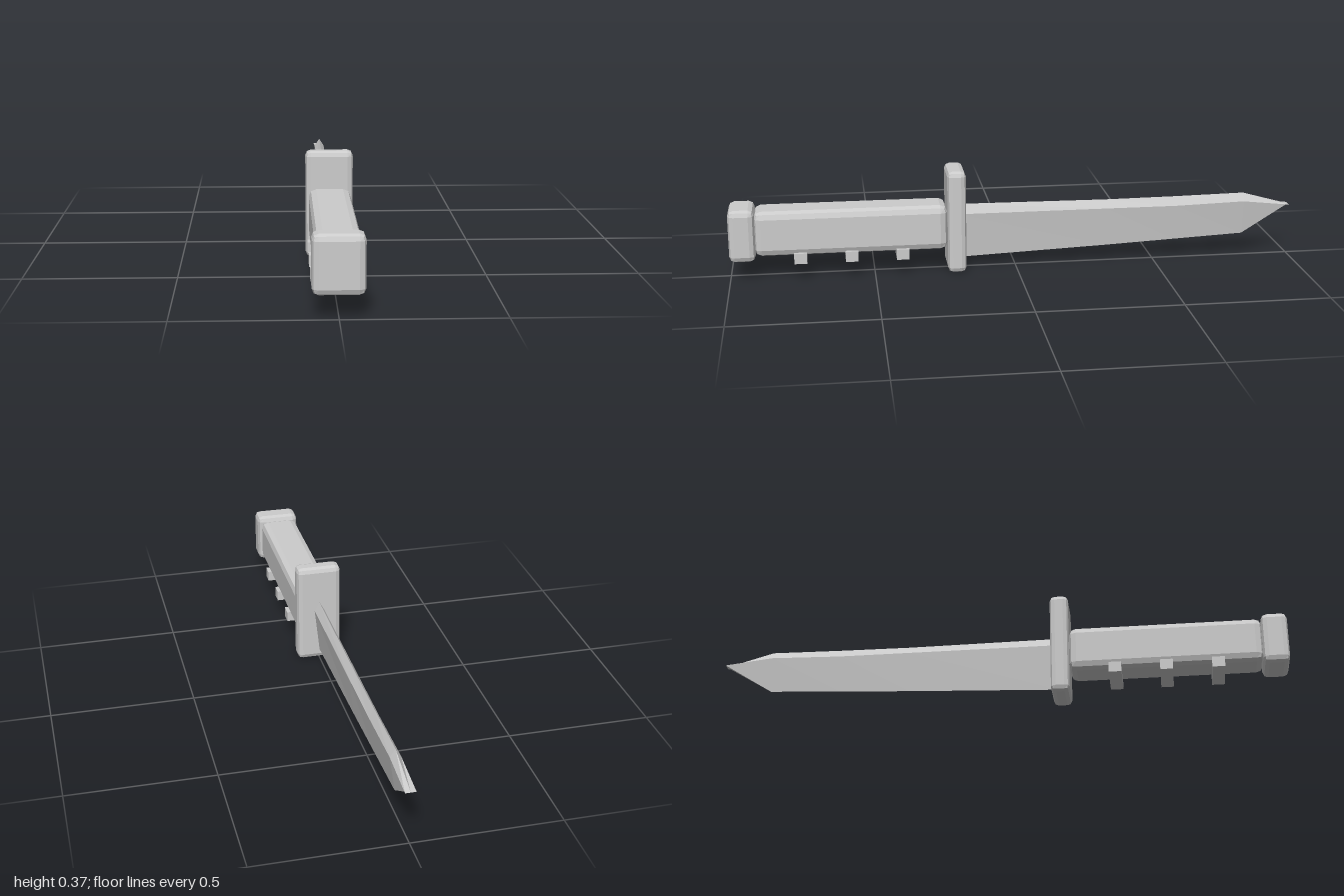
import * as THREE from 'three';
import { RoundedBoxGeometry } from 'three/addons/geometries/RoundedBoxGeometry.js';

const steel = new THREE.MeshStandardMaterial({ color: 0xcccccc });
steel.name = 'light grey';

// Faceted look: every face gets its own normal
function faceted(geometry) {
  const g = geometry.index ? geometry.toNonIndexed() : geometry;
  g.computeVertexNormals();
  return g;
}

// Bevelled block given by half width and y / z extents
function block(name, halfX, [y0, y1], [z0, z1], bevel) {
  const size = [2 * halfX, y1 - y0, z1 - z0];
  const geo = bevel
    ? new RoundedBoxGeometry(...size, 1, bevel)
    : new THREE.BoxGeometry(...size);
  const mesh = new THREE.Mesh(faceted(geo), steel);
  mesh.name = name;
  mesh.position.set(0, (y0 + y1) / 2, (z0 + z1) / 2);
  return mesh;
}

// Blade lofted through kite-shaped sections, ending in a short chisel line
function blade() {
  const w = 0.018;
  // z, ridge y, shoulder y, cutting edge y
  const stations = [
    [0.2, 0.23, 0.197, 0.034],
    [-0.33, 0.226, 0.197, 0.056],
    [-0.58, 0.228, 0.197, 0.068],
    [-0.83, 0.232, 0.204, 0.08],
    [-1, 0.185, 0.185, 0.185],
  ];
  const rings = stations.map(([z, top, mid, low]) => [
    [0, top, z], [w, mid, z], [0, low, z], [-w, mid, z],
  ]);
  const pos = [];
  const quad = (a, b, c, d) => pos.push(...a, ...b, ...c, ...a, ...c, ...d);
  for (let i = 0; i < rings.length - 1; i++) {
    const a = rings[i], b = rings[i + 1];
    for (let k = 0; k < 4; k++) {
      const n = (k + 1) % 4;
      quad(a[k], a[n], b[n], b[k]);
    }
  }
  quad(rings[0][3], rings[0][2], rings[0][1], rings[0][0]);
  const geo = new THREE.BufferGeometry();
  geo.setAttribute('position', new THREE.Float32BufferAttribute(pos, 3));
  const mesh = new THREE.Mesh(faceted(geo), steel);
  mesh.name = 'blade';
  return mesh;
}

export function createModel() {
  const knife = new THREE.Group();
  knife.name = 'knife';
  knife.add(
    block('pommel', 0.08, [0.069, 0.253], [0.91, 1], 0.02),
    block('handle', 0.07, [0.083, 0.242], [0.245, 0.913], 0.025),
    block('guard', 0.08, [0, 0.365], [0.18, 0.245], 0.018),
    blade(),
  );
  // Finger ridges under the handle
  [0.403, 0.58, 0.757].forEach((z, i) => {
    knife.add(block(`gripRidge${i + 1}`, 0.078, [0.058, 0.095], [z - 0.022, z + 0.022], 0));
  });
  return knife;
}
